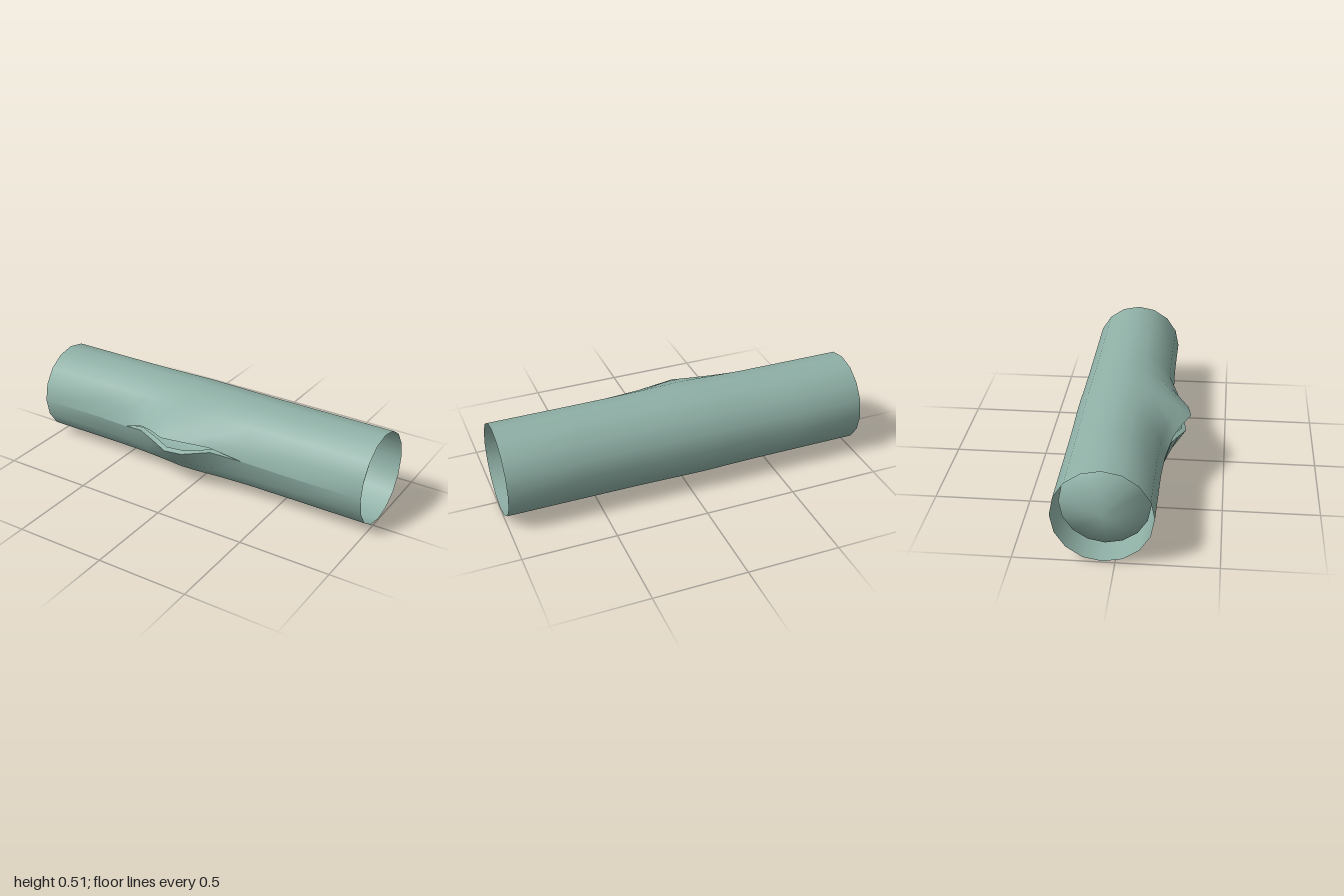
import * as THREE from 'three';
import { mergeVertices } from 'three/addons/utils/BufferGeometryUtils.js';

const SIDES = 16, CY = 0.256, CZ = -0.06;

// Stations along the pipe: x, bulge weight, upper lip y, lower lip y
const stations = [
  [-1, 0, CY, CY], [-0.6, 0.01, 0.257, 0.257], [-0.42, 0.08, 0.258, 0.258],
  [-0.3, 0.35, 0.315, 0.28], [-0.2, 0.65, 0.33, 0.262], [-0.1, 1, 0.335, 0.245],
  [0, 0.86, 0.334, 0.247], [0.15, 0.4, 0.315, 0.282], [0.33, 0.08, 0.265, 0.265],
  [0.6, 0.01, 0.257, 0.257], [1, 0, CY, CY],
];

// Extra push (z, y) of the ring corners near the tear
const push = { 0: [0.122, 0], 1: [0.066, 0.037], 2: [0.021, 0.012], 3: [0.003, 0.003],
  14: [0.008, -0.009], 15: [0.043, -0.004], 16: [0.097, 0] };

// One ring of corners, running from the upper lip round the back to the lower lip
function ring([x, w, upper, lower], radius, inset) {
  const pts = [];
  for (let k = 0; k <= SIDES; k++) {
    const a = (k / SIDES) * Math.PI * 2, r = radius + 0.005 * w;
    const [dz, dy] = push[k] || [0, 0];
    let y = CY + Math.sin(a) * r + dy * w;
    const z = CZ + Math.cos(a) * r + dz * w;
    const gap = upper - lower;
    if (k === 0) y = upper - Math.min(inset, gap * 0.2);
    if (k === SIDES) y = lower + Math.min(inset, gap * 0.2);
    pts.push(new THREE.Vector3(x, y, z));
  }
  return pts;
}

// Collects triangles, then welds them so the shading is smooth
function build(name, material, fill) {
  const pos = [];
  const tri = (...pts) => pts.forEach((p) => pos.push(p.x, p.y, p.z));
  const quad = (a, b, c, d) => { tri(a, b, c); tri(a, c, d); };
  fill(tri, quad);
  let geometry = new THREE.BufferGeometry();
  geometry.setAttribute('position', new THREE.Float32BufferAttribute(pos, 3));
  geometry = mergeVertices(geometry, 1e-4);
  geometry.computeVertexNormals();
  const mesh = new THREE.Mesh(geometry, material);
  mesh.name = name;
  return mesh;
}

function skin(rings, quad) {
  for (let i = 0; i < rings.length - 1; i++) {
    for (let k = 0; k < SIDES; k++) {
      quad(rings[i][k], rings[i + 1][k], rings[i + 1][k + 1], rings[i][k + 1]);
    }
  }
}

export function createModel() {
  const group = new THREE.Group();
  group.name = 'burstPipe';
  const material = new THREE.MeshStandardMaterial({ color: 0x8fb0a6, side: THREE.DoubleSide });

  const outer = stations.map((s) => ring(s, 0.248, 0));
  const last = stations.length - 1;
  const inner = stations.map((s, i) => {
    const x = i === 0 ? -0.88 : i === last ? 0.84 : s[0];
    return ring([x, ...s.slice(1)], 0.223, 0.012);
  });

  // Outer wall, open at both ends
  group.add(build('outerPipe', material, (tri, quad) => skin(outer, quad)));

  // Inner core: pointed at one end, flat at the other
  group.add(build('innerCore', material, (tri, quad) => {
    skin(inner, quad);
    const tip = new THREE.Vector3(-1, CY, CZ);
    const middle = new THREE.Vector3(0.84, CY, CZ);
    for (let k = 0; k < SIDES; k++) {
      tri(tip, inner[0][k], inner[0][k + 1]);
      tri(middle, inner[last][k + 1], inner[last][k]);
    }
  }));

  // Torn edges joining the outer wall to the core
  for (const [name, k] of [['upperTearEdge', 0], ['lowerTearEdge', SIDES]]) {
    group.add(build(name, material, (tri, quad) => {
      for (let i = 2; i < 8; i++) {
        const q = [outer[i][k], inner[i][k], inner[i + 1][k], outer[i + 1][k]];
        quad(...(k === 0 ? q : q.reverse()));
      }
    }));
  }
  return group;
}
